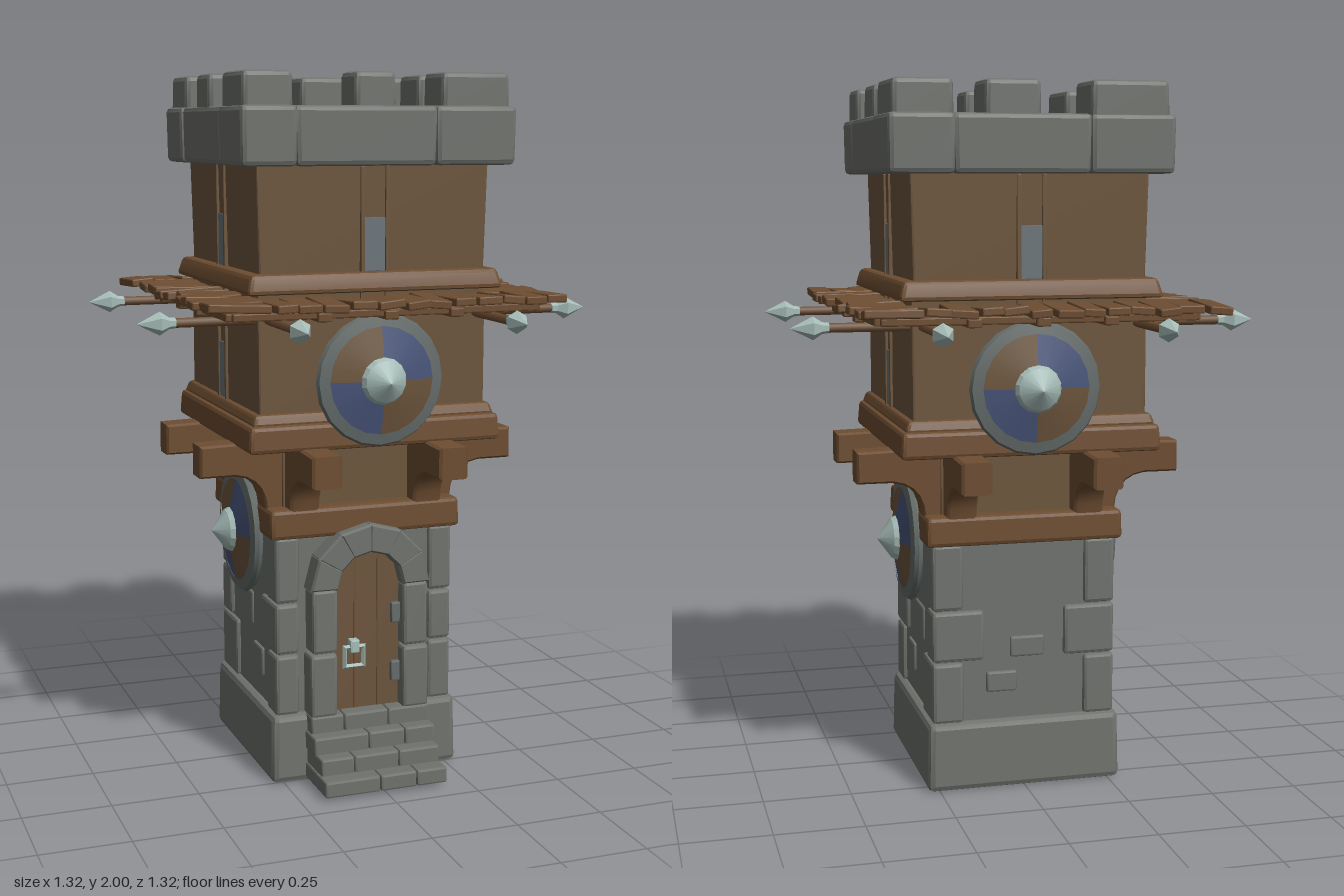
import * as THREE from 'three';
import { RoundedBoxGeometry } from 'three/addons/geometries/RoundedBoxGeometry.js';
import { toCreasedNormals } from 'three/addons/utils/BufferGeometryUtils.js';

const paint = (name, color) => {
  const m = new THREE.MeshStandardMaterial({ color });
  m.name = name;
  return m;
};

export function createModel() {
  const stone = paint('grey stone', 0x6f726d);
  const wood = paint('brown planks', 0x6c553c);
  const beam = paint('dark beam wood', 0x6d4d31);
  const blue = paint('shield blue', 0x48557a);
  const slit = paint('window grey', 0x6c757a);
  const iron = paint('iron grey', 0x646c6a);
  const steel = paint('pale steel', 0xa6bcb7);

  const model = new THREE.Group();
  const tower = new THREE.Group();
  tower.name = 'tower';
  tower.position.z = -0.022;
  model.add(tower);

  let seed = 7;
  const rnd = (a, b) => {
    seed = (seed * 16807) % 2147483647;
    return a + (b - a) * (seed / 2147483647);
  };
  const add = (parent, name, geo, mat) => {
    const m = new THREE.Mesh(geo, mat);
    m.name = name;
    parent.add(m);
    return m;
  };
  const faceted = (geo) => toCreasedNormals(geo, 0.35);
  // chamfered block given by its limits; top is scaled by "flare"
  const block = (parent, name, mat, [x0, x1], [y0, y1], [z0, z1], r = 0.012, flare = 1) => {
    const w = x1 - x0, h = y1 - y0, d = z1 - z0;
    const geo = new RoundedBoxGeometry(w, h, d, 1, Math.min(r, w / 3, h / 3, d / 3));
    const p = geo.attributes.position;
    for (let i = 0; i < p.count; i++) {
      const s = THREE.MathUtils.lerp(1, flare, p.getY(i) / h + 0.5);
      p.setX(i, p.getX(i) * s);
      p.setZ(i, p.getZ(i) * s);
    }
    const m = add(parent, name, faceted(geo), mat);
    m.position.set((x0 + x1) / 2, (y0 + y1) / 2, (z0 + z1) / 2);
    return m;
  };
  const tier = (name, mat, half, y0, y1, r, flare) =>
    block(tower, name, mat, [-half, half], [y0, y1], [-half, half], r, flare);

  // stacked storeys
  tier('stoneBase', stone, 0.285, 0, 0.2, 0.018, 0.985);
  tier('stoneBody', stone, 0.256, 0.19, 0.74, 0.008);
  tier('lowerBeamRing', beam, 0.287, 0.715, 0.8, 0.012, 0.99);
  tier('recessedWall', wood, 0.235, 0.79, 1.0, 0.004);
  tier('floorBeamRing', beam, 0.372, 0.98, 1.055, 0.012, 0.985);
  tier('floorBeamCap', beam, 0.358, 1.05, 1.085, 0.01, 0.97);
  tier('middleWall', wood, 0.334, 1.07, 1.43, 0.006);
  tier('upperBeamRing', beam, 0.374, 1.41, 1.465, 0.012, 0.96);
  tier('upperWall', wood, 0.33, 1.45, 1.765, 0.006, 1.02);

  // corner stones, alternating in length
  for (const sx of [-1, 1]) for (const sz of [-1, 1]) {
    [0.195, 0.375, 0.525, 0.72].forEach((y, i, ys) => {
      if (i === 3) return;
      const long = (i + (sz > 0 ? 0 : 1)) % 2 ? 0.15 : 0.09;
      const xs = [0.268, 0.268 - (sz > 0 ? 0.07 : 0.24 - long)].map(v => v * sx).sort((a, b) => a - b);
      const zs = [0.27, 0.27 - long].map(v => v * sz).sort((a, b) => a - b);
      block(tower, 'cornerStone', stone, xs, [y + 0.002, ys[i + 1] - 0.002], zs, 0.01);
    });
  }

  // round shield: rim, four painted quarters and a pointed boss
  const lathe = (pts, n, start = 0, len = Math.PI * 2) => faceted(new THREE.LatheGeometry(
    pts.map(([r, y]) => new THREE.Vector2(r, y)), n, start, len).rotateX(Math.PI / 2));
  const shield = (parent, y, z) => {
    const g = new THREE.Group();
    g.name = 'shield';
    g.position.set(0, y, z);
    parent.add(g);
    add(g, 'shieldRim', lathe([[0, 0], [0.18, 0], [0.186, 0.012], [0.18, 0.024], [0.15, 0.03]], 20), iron);
    for (let q = 0; q < 4; q++)
      add(g, 'shieldQuarter', lathe([[0.152, 0.027], [0.065, 0.046]], 5, q * Math.PI / 2, Math.PI / 2), q % 2 ? blue : wood);
    add(g, 'shieldBoss', lathe([[0.068, 0.042], [0.058, 0.06], [0, 0.102]], 14), steel);
  };

  // curved bracket profile in the depth/height plane
  const prof = new THREE.Shape();
  prof.moveTo(0.22, 0.79);
  prof.lineTo(0.275, 0.79);
  prof.quadraticCurveTo(0.28, 0.89, 0.37, 0.9);
  prof.lineTo(0.465, 0.9);
  prof.lineTo(0.465, 0.978);
  prof.lineTo(0.22, 0.985);
  const bracketGeo = faceted(new THREE.ExtrudeGeometry(prof, {
    depth: 0.07, curveSegments: 5, bevelThickness: 0.008, bevelSize: 0.006, bevelSegments: 1,
  }).translate(0, 0, -0.035).rotateY(-Math.PI / 2));
  const headGeo = lathe([[0, 0], [0.014, 0.002], [0.016, 0.02], [0.032, 0.045], [0, 0.108]], 6);

  // everything repeated on the four sides
  for (let i = 0; i < 4; i++) {
    const side = new THREE.Group();
    side.name = ['frontSide', 'leftSide', 'backSide', 'rightSide'][i];
    side.rotation.y = i * Math.PI / 2;
    tower.add(side);

    for (const x of [-0.185, 0.185]) {
      add(side, 'bracket', bracketGeo, beam).position.x = x;
      const sx = Math.sign(x) * 0.305;
      const shaft = add(side, 'spearShaft', new THREE.CylinderGeometry(0.013, 0.013, 0.3, 6).rotateX(Math.PI / 2), beam);
      shaft.position.set(sx, 1.34, 0.425);
      add(side, 'spearHead', headGeo, steel).position.set(sx, 1.34, 0.553);
    }
    // window slits between upright battens
    for (const [y0, y1] of [[1.085, 1.245], [1.465, 1.61]])
      block(side, 'windowSlit', slit, [-0.03, 0.03], [y0, y1], [0.331, 0.338], 0.001);
    for (const x of [-0.036, 0.036]) {
      block(side, 'batten', wood, [x - 0.006, x + 0.006], [1.08, 1.41], [0.325, 0.342], 0.002);
      block(side, 'batten', wood, [x - 0.006, x + 0.006], [1.46, 1.75], [0.325, 0.342], 0.002);
    }
    shield(side, i % 2 ? 0.69 : 1.17, i % 2 ? 0.276 : 0.365);

    // walkway: rails, joists and uneven planks
    block(side, 'walkwayRail', beam, [-0.44, 0.44], [1.352, 1.374], [0.43, 0.455], 0.004);
    block(side, 'walkwayRail', beam, [-0.35, 0.35], [1.352, 1.374], [0.33, 0.355], 0.004);
    for (const x of [-0.19, 0, 0.19])
      block(side, 'walkwayJoist', beam, [x - 0.02, x + 0.02], [1.345, 1.37], [0.33, 0.47], 0.004);
    for (let x = -0.335; x < 0.46;) {
      const w = rnd(0.055, 0.076);
      const m = block(side, 'plank', beam, [x, x + w], [1.375, 1.398], [0.335, rnd(0.488, 0.525)], 0.004);
      m.rotation.set(rnd(-0.06, 0.06), rnd(-0.05, 0.05), rnd(-0.12, 0.12));
      x += w + 0.005;
    }
  }

  // battlement: hollow ring of big blocks around the roof deck
  const battlement = new THREE.Group();
  battlement.name = 'battlement';
  model.add(battlement);
  const ring = [
    [[-0.39, -0.235], [0.14, 0.36]], [[-0.237, 0.165], [0.2, 0.355]], [[0.163, 0.4], [0.2, 0.36]],
    [[-0.385, -0.235], [-0.25, 0.142]], [[0.225, 0.4], [-0.19, 0.202]],
    [[-0.39, -0.15], [-0.425, -0.25]], [[-0.152, 0.227], [-0.418, -0.25]], [[0.225, 0.405], [-0.425, -0.188]],
  ];
  for (const [x, z] of ring) block(battlement, 'parapetBlock', stone, x, [1.75, 1.91], z, 0.014, 1.02);
  const merlons = [
    [[-0.375, -0.15], [-0.42, -0.252]], [[-0.015, 0.142], [-0.41, -0.262]], [[0.225, 0.395], [-0.41, -0.19]],
    [[-0.38, -0.24], [-0.125, 0.01]], [[0.222, 0.385], [-0.07, 0.08]],
    [[-0.382, -0.24], [0.14, 0.342]], [[-0.065, 0.055], [0.21, 0.335]], [[0.185, 0.388], [0.2, 0.342]],
  ];
  for (const [x, z] of merlons) block(battlement, 'merlon', stone, x, [1.89, 2], z, 0.014, 0.98);
  block(battlement, 'roofDeck', wood, [-0.26, 0.26], [1.745, 1.77], [-0.28, 0.24], 0.002);
  block(battlement, 'trapdoor', wood, [-0.145, 0.135], [1.765, 1.782], [-0.155, 0.12], 0.003);
  for (const z of [-0.09, 0.05])
    block(battlement, 'trapdoorHinge', iron, [0.125, 0.16], [1.775, 1.792], [z - 0.03, z + 0.03], 0.004);

  // square ring pull on a small plate, facing +z
  const pull = (parent, x, y, z) => {
    const g = new THREE.Group();
    g.name = 'ringPull';
    g.position.set(x, y, z);
    parent.add(g);
    add(g, 'ring', faceted(new THREE.TorusGeometry(0.04, 0.009, 4, 4).rotateZ(Math.PI / 4)), steel).position.z = 0.014;
    block(g, 'pullPlate', steel, [-0.014, 0.014], [0.012, 0.05], [-0.004, 0.026], 0.004);
    return g;
  };
  const trapPull = pull(battlement, -0.07, 1.785, -0.015);
  trapPull.rotation.set(-Math.PI / 2, 0, -Math.PI / 2);

  // doorway: arched leaf, jamb stones and arch stones
  const doorway = new THREE.Group();
  doorway.name = 'doorway';
  model.add(doorway);
  const leaf = new THREE.Shape();
  leaf.moveTo(-0.105, 0.19);
  leaf.lineTo(0.105, 0.19);
  leaf.lineTo(0.105, 0.57);
  leaf.absarc(0, 0.57, 0.105, 0, Math.PI);
  add(doorway, 'doorLeaf', new THREE.ExtrudeGeometry(leaf, { depth: 0.04, bevelEnabled: false, curveSegments: 8 })
    .translate(0, 0, 0.215), wood);
  for (const x of [-0.035, 0.035])
    block(doorway, 'doorSeam', beam, [x - 0.002, x + 0.002], [0.2, 0.66], [0.25, 0.257], 0.0005);
  for (const s of [-1, 1]) for (const [y0, y1, o] of [[0.195, 0.38, 0.18], [0.383, 0.57, 0.175]])
    block(doorway, 'jambStone', stone, [s * 0.1, s * o].sort((a, b) => a - b), [y0, y1], [0.2, 0.298], 0.01);
  const n = 6;
  for (let i = 0; i < n; i++) {
    const a = i * Math.PI / n + 0.015, b = (i + 1) * Math.PI / n - 0.015;
    const s = new THREE.Shape([[0.104, a], [0.174, a], [0.174, b], [0.104, b]].map(([r, t]) =>
      new THREE.Vector2(r * Math.cos(t), 0.57 + r * Math.sin(t))));
    add(doorway, 'archStone', faceted(new THREE.ExtrudeGeometry(s, {
      depth: 0.085, bevelThickness: 0.008, bevelSize: 0.006, bevelSegments: 1,
    }).translate(0, 0, 0.208)), stone);
  }
  for (const y of [0.3, 0.475])
    block(doorway, 'doorHinge', iron, [0.075, 0.105], [y - 0.03, y + 0.03], [0.25, 0.268], 0.004);
  pull(doorway, -0.042, 0.36, 0.258);

  // steps up to the door, each course made of bricks
  [[0.435, 0.057], [0.385, 0.104], [0.342, 0.152], [0.3, 0.2]].forEach(([z, top], i) => {
    const cuts = i % 2 ? [-0.18, -0.08, 0.055, 0.18] : [-0.185, -0.02, 0.09, 0.183];
    for (let k = 0; k < 3; k++)
      block(doorway, 'stepBrick', stone, [cuts[k], cuts[k + 1] - 0.002], [i ? top - 0.055 : 0.01, top], [0.22, z], 0.006);
  });

  // odd raised bricks on the side and back walls
  for (const s of [-1, 1]) {
    block(tower, 'raisedBrick', stone, [s * 0.24, s * 0.264].sort((a, b) => a - b), [0.27, 0.355], [0.03, 0.12], 0.006);
    block(tower, 'raisedBrick', stone, [s * 0.24, s * 0.262].sort((a, b) => a - b), [0.4, 0.5], [-0.1, 0.02], 0.006);
  }
  block(tower, 'raisedBrick', stone, [-0.06, 0.04], [0.38, 0.44], [-0.266, -0.24], 0.006);
  block(tower, 'raisedBrick', stone, [0.02, 0.11], [0.28, 0.34], [-0.266, -0.24], 0.006);
  return model;
}
